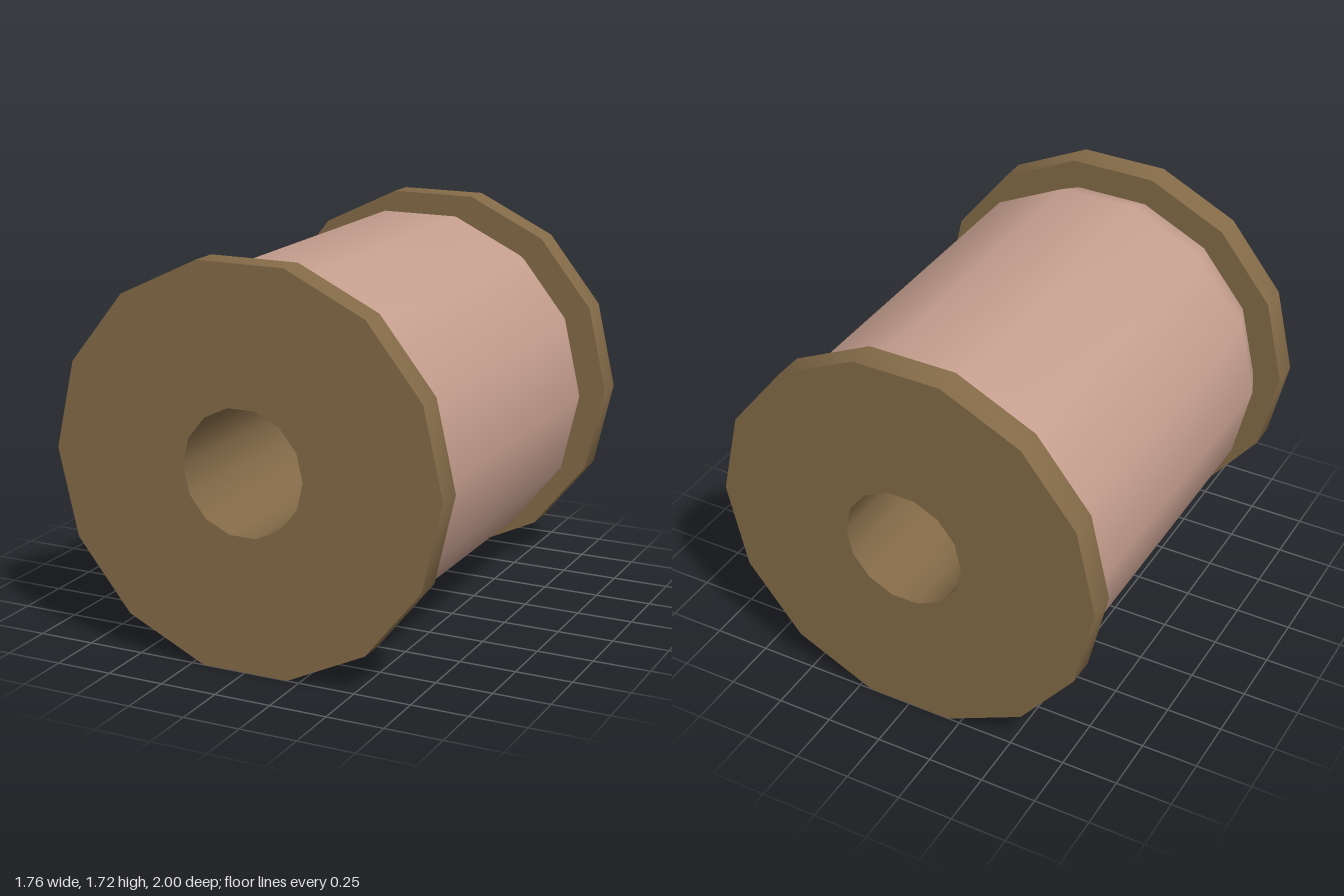
import * as THREE from 'three';
import { toCreasedNormals } from 'three/addons/utils/BufferGeometryUtils.js';

const SIDES = 14;
const CENTRE_Y = 0.88 * Math.cos(Math.PI / SIDES);

// Revolves a [radius, z] profile around the z axis, with a corner pointing to +x
function revolve(profile) {
  const points = profile.map(([r, z]) => new THREE.Vector2(r, z));
  return new THREE.LatheGeometry(points, SIDES, Math.PI / 2).rotateX(Math.PI / 2);
}

export function createModel() {
  const wood = new THREE.MeshStandardMaterial({ name: 'brown wood', color: 0x846b48 });
  const yarn = new THREE.MeshStandardMaterial({ name: 'dusty pink thread', color: 0xc69f8f });

  const group = new THREE.Group();
  group.name = 'threadSpool';

  const add = (name, geometry, material) => {
    const mesh = new THREE.Mesh(geometry, material);
    mesh.name = name;
    mesh.position.y = CENTRE_Y;
    group.add(mesh);
  };

  // Wooden spool: two end discs, a core and a bore right through
  const spool = revolve([
    [0.274, -1], [0.88, -1], [0.88, -0.875], [0.7, -0.875],
    [0.7, 0.875], [0.88, 0.875], [0.88, 1], [0.274, 1], [0.274, -1],
  ]);
  add('spool', toCreasedNormals(spool, 0.6), wood);

  // Wound thread, tapering towards both discs
  add('thread', revolve([
    [0.748, -0.875], [0.807, -0.73], [0.807, 0.73], [0.748, 0.875],
  ]), yarn);

  return group;
}
